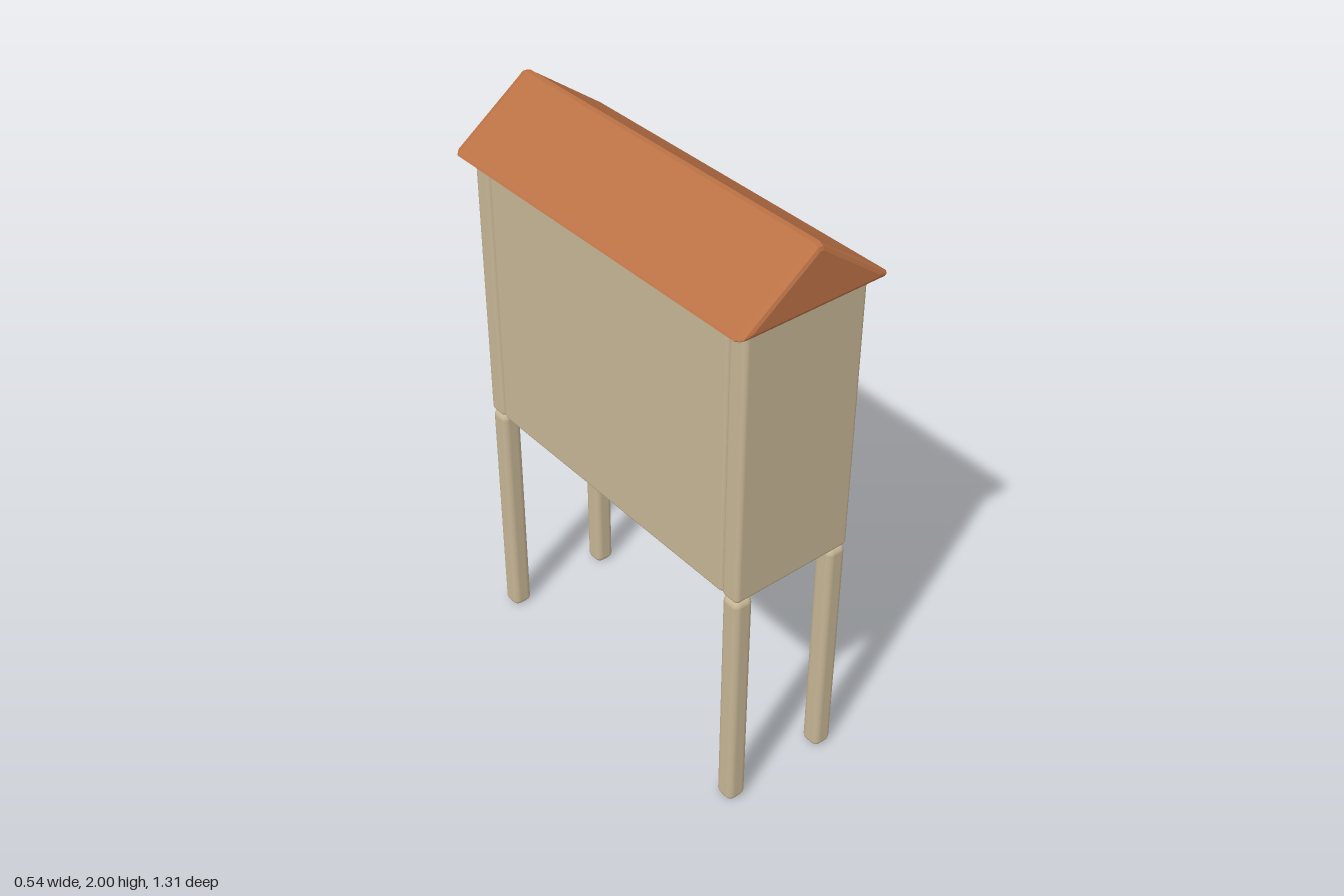
import * as THREE from 'three';
import { toCreasedNormals } from 'three/addons/utils/BufferGeometryUtils.js';
import { RoundedBoxGeometry } from 'three/addons/geometries/RoundedBoxGeometry.js';

const wood = new THREE.MeshStandardMaterial({ color: 0xc4b494 });
wood.name = 'pale wood';
const tile = new THREE.MeshStandardMaterial({ color: 0xba7145 });
tile.name = 'terracotta roof';

// Box with softened edges, given by its size and centre
function board(name, size, pos, radius) {
  const mesh = new THREE.Mesh(new RoundedBoxGeometry(...size, 3, radius), wood);
  mesh.name = name;
  mesh.position.set(...pos);
  return mesh;
}

// Gabled prism whose ends shrink towards the incentre to round the edges
function roofGeometry() {
  const shape = new THREE.Shape([
    [-0.262, 1.8], [0.262, 1.8], [0.27, 1.804], [0.266, 1.809],
    [0.022, 1.987], [0.009, 1.998], [-0.009, 1.998], [-0.022, 1.987],
    [-0.266, 1.809], [-0.27, 1.804],
  ].map(([x, y]) => new THREE.Vector2(x, y)));
  const rings = [[-0.655, 0.83], [-0.65, 0.94], [-0.632, 1], [0.632, 1], [0.65, 0.94], [0.655, 0.83]];
  const geo = new THREE.ExtrudeGeometry(shape, { depth: 5, steps: 5, bevelEnabled: false });
  const p = geo.attributes.position;
  const cy = 1.889;
  for (let i = 0; i < p.count; i++) {
    const [z, s] = rings[Math.round(p.getZ(i))];
    p.setXYZ(i, p.getX(i) * s, cy + (p.getY(i) - cy) * s, z);
  }
  return toCreasedNormals(geo, 0.2);
}

export function createModel() {
  const model = new THREE.Group();
  model.name = 'hutOnStilts';

  for (const sz of [1, -1]) {
    // End walls span the full width
    model.add(board(sz > 0 ? 'frontWall' : 'backWall', [0.44, 0.955, 0.07], [0, 1.3275, sz * 0.585], 0.016));
    // Four slender legs under the corners
    for (const sx of [1, -1]) {
      const name = (sz > 0 ? 'front' : 'back') + (sx > 0 ? 'Left' : 'Right') + 'Leg';
      model.add(board(name, [0.07, 0.85, 0.07], [sx * 0.185, 0.425, sz * 0.585], 0.022));
    }
  }

  // Side walls between the end walls; the underside stays open
  for (const sx of [1, -1]) {
    model.add(board(sx > 0 ? 'leftWall' : 'rightWall', [0.065, 0.955, 1.1], [sx * 0.185, 1.3275, 0], 0.014));
  }

  const roof = new THREE.Mesh(roofGeometry(), tile);
  roof.name = 'roof';
  model.add(roof);

  // Thin wooden lining under the eaves
  const lining = new THREE.Mesh(new THREE.BoxGeometry(0.52, 0.006, 1.275), wood);
  lining.name = 'eavesLining';
  lining.position.set(0, 1.8, 0);
  model.add(lining);

  return model;
}
